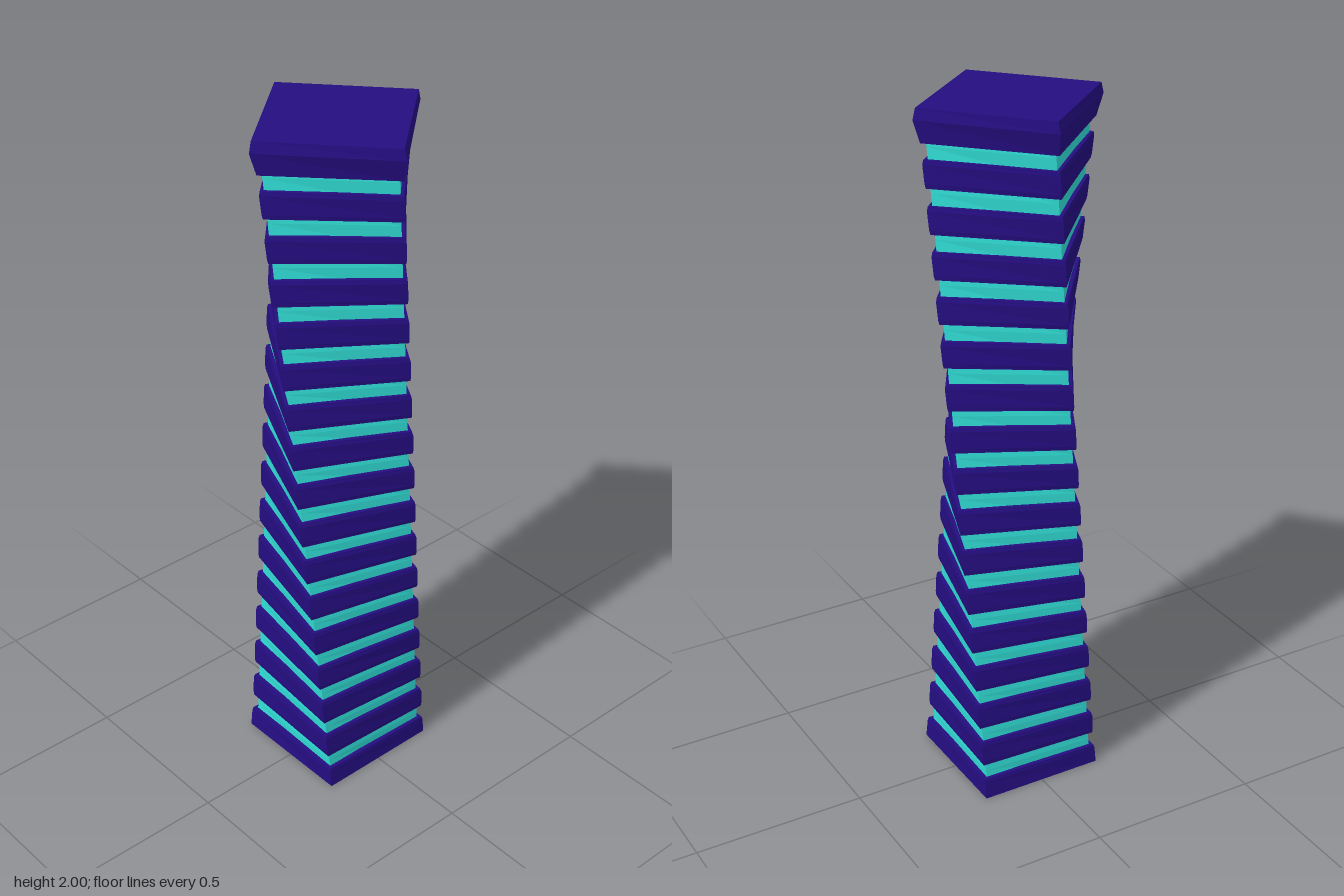
import * as THREE from 'three';

const HEIGHT = 2;
const CORE_RADIUS = 0.243;                      // centre to corner
const TWIST = THREE.MathUtils.degToRad(48.7);   // turn of the top square
const SLABS = 17;
const STEP = 0.1205;

// Four corners of the tower at height y. Each corner runs in a straight line
// from the base square to the turned top square, so the tower narrows midway.
function ring(y, overhang) {
  const t = y / HEIGHT;
  return [0, 1, 2, 3].map((i) => {
    const a = Math.PI / 4 + (i * Math.PI) / 2;
    const x = THREE.MathUtils.lerp(Math.cos(a), Math.cos(a + TWIST), t) * CORE_RADIUS;
    const z = THREE.MathUtils.lerp(Math.sin(a), Math.sin(a + TWIST), t) * CORE_RADIUS;
    const k = 1 + overhang / Math.hypot(x, z);
    return [x * k, y, z * k];
  });
}

// Closed, faceted solid through a profile of [height, corner overhang]
function loft(profile) {
  const rings = profile.map(([y, overhang]) => ring(y, overhang));
  const pos = [];
  const tri = (a, b, c) => pos.push(...a, ...b, ...c);
  for (let r = 0; r < rings.length - 1; r++) {
    const lo = rings[r], hi = rings[r + 1];
    for (let i = 0; i < 4; i++) {
      const j = (i + 1) % 4;
      tri(lo[i], hi[i], hi[j]);
      tri(lo[i], hi[j], lo[j]);
    }
  }
  const b = rings[0], t = rings[rings.length - 1];
  tri(b[0], b[1], b[2]);
  tri(b[0], b[2], b[3]);
  tri(t[0], t[2], t[1]);
  tri(t[0], t[3], t[2]);
  const geo = new THREE.BufferGeometry();
  geo.setAttribute('position', new THREE.Float32BufferAttribute(pos, 3));
  geo.computeVertexNormals();
  return geo;
}

export function createModel() {
  const purple = new THREE.MeshStandardMaterial({ color: 0x240d80 });
  purple.name = 'deep purple';
  const turquoise = new THREE.MeshStandardMaterial({ color: 0x30dcd4 });
  turquoise.name = 'turquoise';

  const tower = new THREE.Group();
  tower.name = 'twistedTower';
  const add = (name, profile, material) => {
    const mesh = new THREE.Mesh(loft(profile), material);
    mesh.name = name;
    tower.add(mesh);
  };

  // Glazed core, stopping inside the base and roof slabs
  const core = [];
  for (let i = 0; i <= 32; i++) core.push([0.02 + (1.94 * i) / 32, 0]);
  add('glazedCore', core, turquoise);

  // Base slab
  add('baseSlab', [[0, 0.019], [0.05, 0.0175], [0.06, 0.015]], purple);

  // Overhanging floor slabs with slightly eased edges
  for (let i = 1; i < SLABS - 1; i++) {
    const y = 0.143 + (i - 1) * STEP;
    add('floorSlab' + i, [
      [y - 0.037, 0.013], [y - 0.025, 0.0155], [y + 0.025, 0.0165], [y + 0.037, 0.013],
    ], purple);
  }

  // Roof slab, flaring outwards below its rim
  add('roofSlab', [[1.91, 0.0165], [1.97, 0.031], [2, 0.021]], purple);
  return tower;
}
